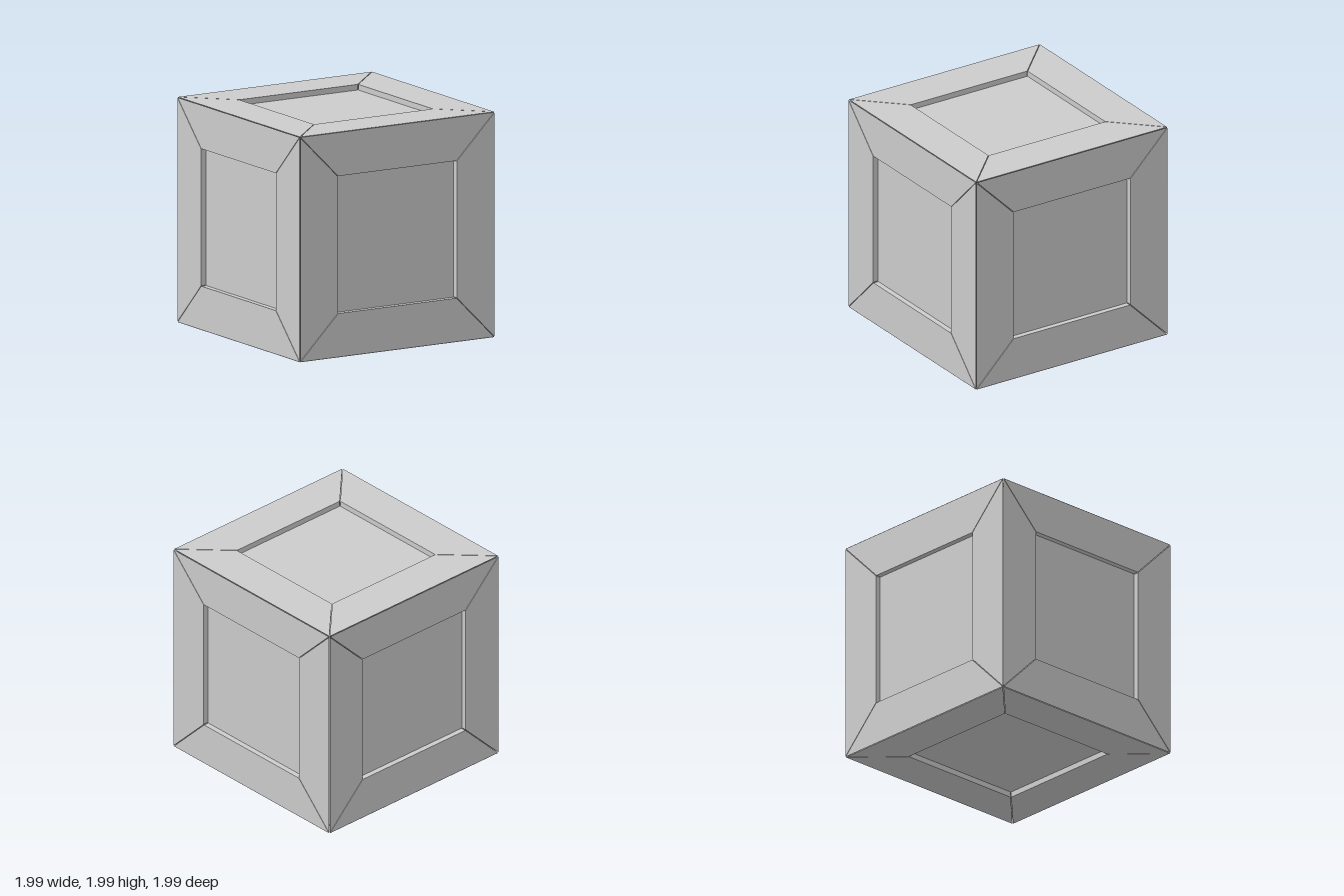
import * as THREE from 'three';

const HALF = 0.997;   // half the crate's side
const INNER = 0.608;  // half the panel opening
const DEPTH = 0.05;   // thickness of the frame boards
const GAP = 0.004;    // half the seam between two boards

// Mitred board along the top of a face; its outer edge is bevelled to meet the next face
function boardGeometry() {
  const outer = HALF - GAP;
  const shape = new THREE.Shape([
    new THREE.Vector2(-INNER + GAP, INNER),
    new THREE.Vector2(INNER - GAP, INNER),
    new THREE.Vector2(outer - GAP, outer),
    new THREE.Vector2(-outer + GAP, outer),
  ]);
  const geo = new THREE.ExtrudeGeometry(shape, { depth: DEPTH, bevelEnabled: false });
  const p = geo.attributes.position;
  for (let i = 0; i < p.count; i++) {
    if (p.getZ(i) < DEPTH / 2 && p.getY(i) > 0.9) {
      p.setX(i, p.getX(i) - Math.sign(p.getX(i)) * DEPTH);
      p.setY(i, p.getY(i) - DEPTH);
    }
  }
  geo.translate(0, 0, HALF - DEPTH);
  geo.computeVertexNormals();
  return geo;
}

export function createModel() {
  const model = new THREE.Group();
  model.name = 'crate';
  const material = new THREE.MeshStandardMaterial({ color: 0xcccccc, flatShading: true });

  // Inner box whose sides are the recessed panels
  const side = 2 * (HALF - DEPTH);
  const core = new THREE.Mesh(new THREE.BoxGeometry(side, side, side), material);
  core.name = 'recessedPanels';
  core.position.y = HALF;
  model.add(core);

  // A frame of four boards on each of the six faces
  const board = boardGeometry();
  const faces = {
    front: [0, 0], right: [0, -Math.PI / 2], back: [0, Math.PI], left: [0, Math.PI / 2],
    top: [-Math.PI / 2, 0], bottom: [Math.PI / 2, 0],
  };
  for (const [name, [rx, ry]] of Object.entries(faces)) {
    const frame = new THREE.Group();
    frame.name = name + 'Frame';
    for (let i = 0; i < 4; i++) {
      const mesh = new THREE.Mesh(board, material);
      mesh.name = name + 'Board' + (i + 1);
      mesh.rotation.z = i * Math.PI / 2;
      frame.add(mesh);
    }
    frame.rotation.set(rx, ry, 0);
    frame.position.y = HALF;
    model.add(frame);
  }
  return model;
}
